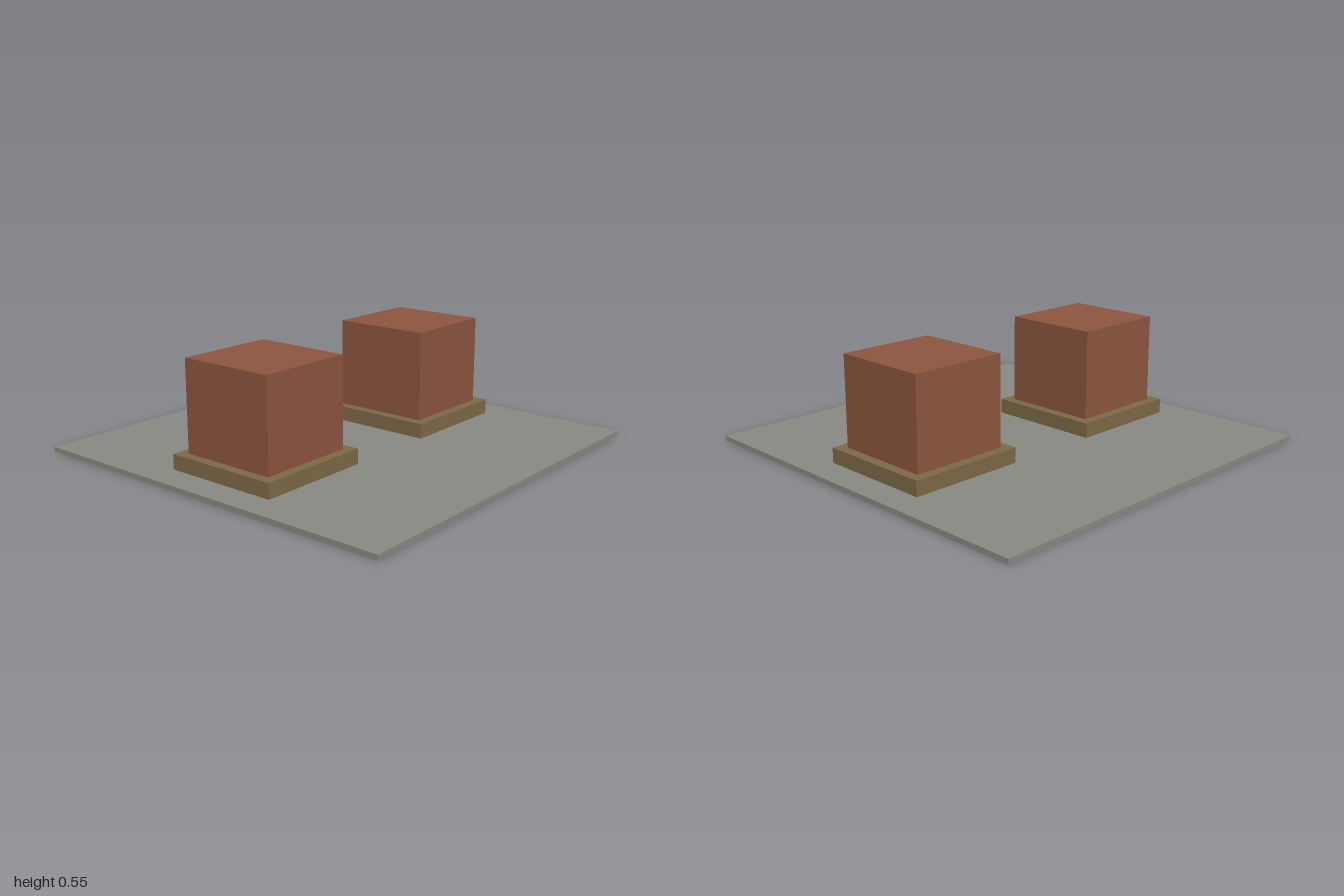
import * as THREE from 'three';

const material = (name, color) => {
  const m = new THREE.MeshStandardMaterial({ color });
  m.name = name;
  return m;
};

// Box given by its size, resting on height y
function block(name, width, height, depth, y, mat) {
  const mesh = new THREE.Mesh(new THREE.BoxGeometry(width, height, depth), mat);
  mesh.name = name;
  mesh.position.y = y + height / 2;
  return mesh;
}

export function createModel() {
  const stone = material('grey stone', 0x8b8b85);
  const wood = material('brown wood', 0x7f6a48);
  const brick = material('brick red', 0x8f5640);

  const model = new THREE.Group();
  model.name = 'twoBlocksOnSlab';

  // Thin ground slab
  model.add(block('groundSlab', 2, 0.025, 2, 0, stone));

  // A block on its plinth, one on each side
  for (const [side, sign] of [['left', 1], ['right', -1]]) {
    const stand = new THREE.Group();
    stand.name = side + 'Stand';
    stand.position.x = sign * 0.55;
    stand.add(
      block(side + 'Plinth', 0.6, 0.075, 0.6, 0.025, wood),
      block(side + 'Block', 0.5, 0.45, 0.5, 0.1, brick)
    );
    model.add(stand);
  }
  return model;
}
